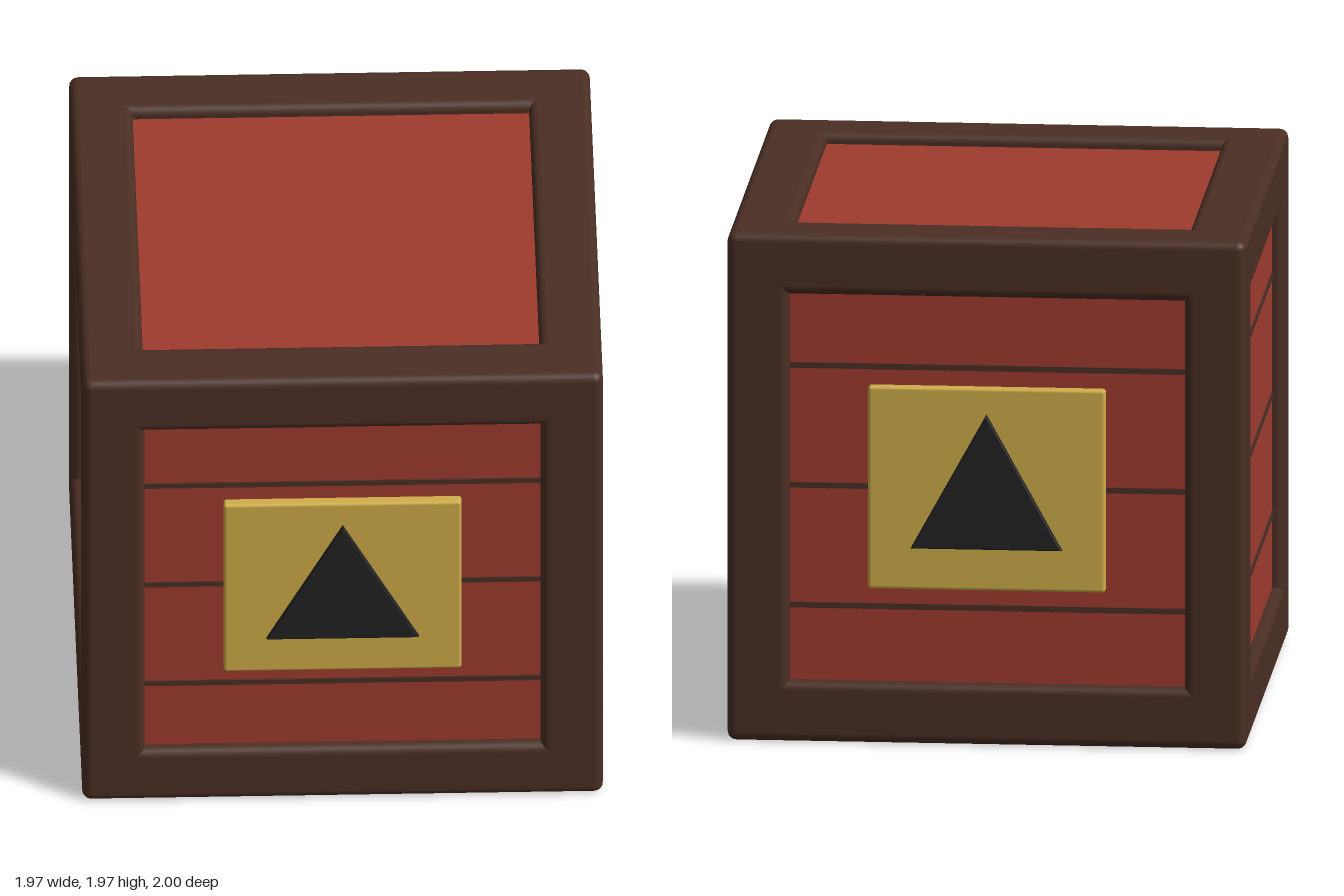
import * as THREE from 'three';
import { RoundedBoxGeometry } from 'three/addons/geometries/RoundedBoxGeometry.js';

const SIZE = 1.97, HALF = SIZE / 2, BAR = 0.235;
const PANEL = 0.94; // distance of the recessed panels from the centre

function paint(name, color) {
  const m = new THREE.MeshStandardMaterial({ color });
  m.name = name;
  return m;
}

export function createModel() {
  const red = paint('red planks', 0xa03b2e);
  const brown = paint('dark brown wood', 0x4a2e23);
  const gold = paint('gold plate', 0xd0ae48);
  const black = paint('black emblem', 0x222222);

  const crate = new THREE.Group();
  crate.name = 'crate';

  function add(parent, name, geometry, material, x = 0, y = 0, z = 0) {
    const mesh = new THREE.Mesh(geometry, material);
    mesh.name = name;
    mesh.position.set(x, y, z);
    parent.add(mesh);
    return mesh;
  }

  // Inner box whose faces are the recessed panels
  add(crate, 'panels', new THREE.BoxGeometry(PANEL * 2, PANEL * 2, PANEL * 2), red, 0, HALF, 0);

  // Twelve rounded bars along the edges
  const frame = new THREE.Group();
  frame.name = 'frame';
  crate.add(frame);
  const c = HALF - BAR / 2;
  const bar = (w, h, d) => new RoundedBoxGeometry(w, h, d, 4, 0.035);
  const post = bar(BAR, SIZE, BAR);
  const crossBar = bar(SIZE, BAR, BAR);
  const depthBar = bar(BAR, BAR, SIZE);
  for (const a of [-1, 1]) {
    for (const b of [-1, 1]) {
      add(frame, 'cornerPost', post, brown, a * c, HALF, b * c);
      add(frame, 'crossBar', crossBar, brown, 0, HALF + a * c, b * c);
      add(frame, 'depthBar', depthBar, brown, a * c, HALF + b * c, 0);
    }
  }

  // Plank seams wrapping the four upright sides
  const seamWidth = 2 * PANEL + 0.012;
  const seam = new THREE.BoxGeometry(seamWidth, 0.022, seamWidth);
  for (const i of [-1, 0, 1]) add(crate, 'plankSeam', seam, brown, 0, HALF + 0.005 + i * 0.465, 0);

  // Bevelled triangle on the plate
  const bevel = 0.008;
  const triangle = new THREE.Shape([
    new THREE.Vector2(-0.278, -0.222),
    new THREE.Vector2(0.278, -0.222),
    new THREE.Vector2(0, 0.284),
  ]);
  const emblem = new THREE.ExtrudeGeometry(triangle, {
    depth: 0.024, bevelEnabled: true, bevelThickness: bevel, bevelSize: bevel, bevelSegments: 2,
  });
  const plate = new RoundedBoxGeometry(0.9, 0.785, 0.05, 3, 0.012);

  // Matching signs on the front and back
  for (const side of [0, 1]) {
    const sign = new THREE.Group();
    sign.name = side ? 'backSign' : 'frontSign';
    sign.position.y = HALF + 0.005;
    sign.rotation.y = side * Math.PI;
    add(sign, 'plate', plate, gold, 0, 0.002, 0.955);
    add(sign, 'triangle', emblem, black, 0, 0, 1 - 0.024 - bevel);
    crate.add(sign);
  }
  return crate;
}
